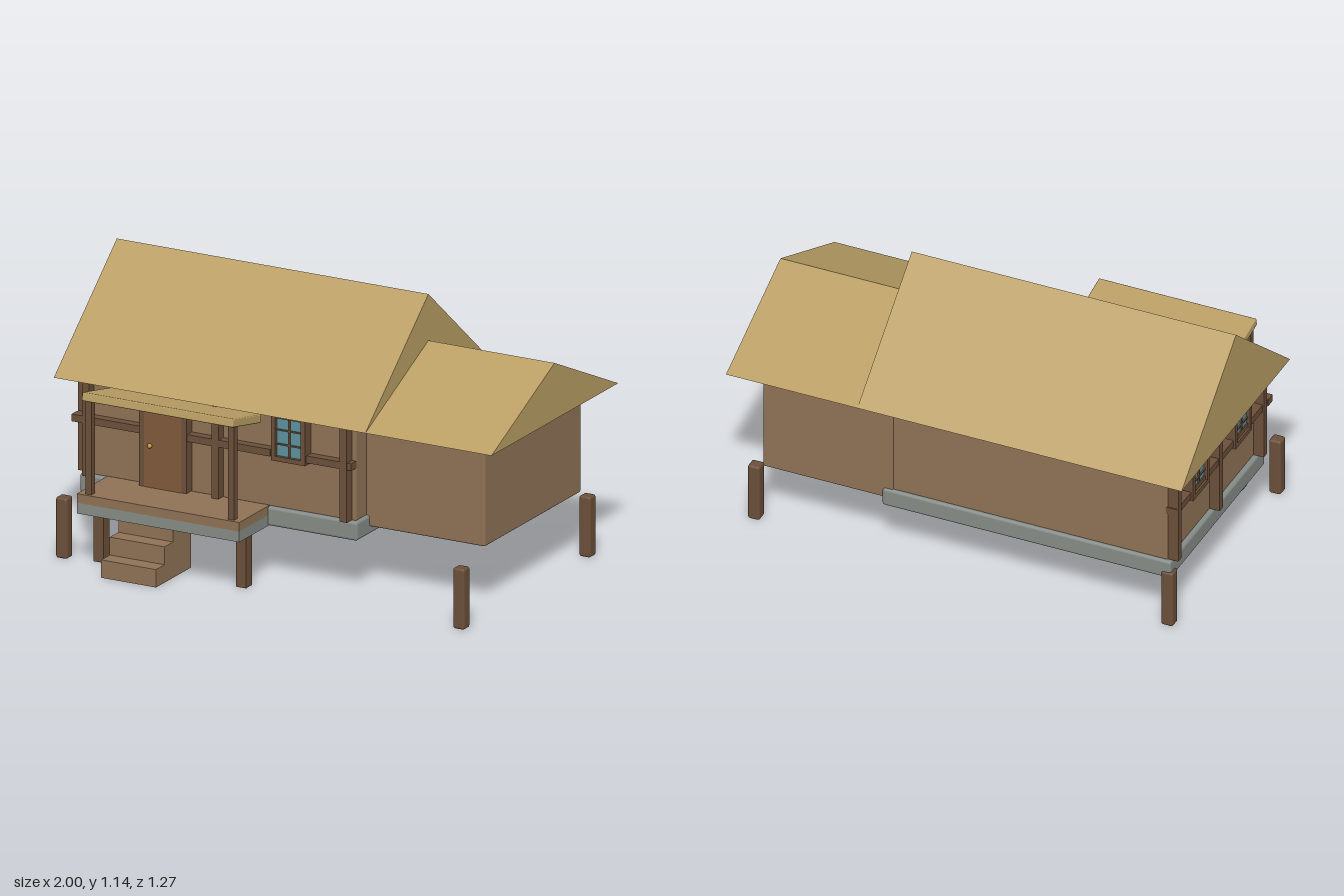
import * as THREE from 'three';
import { RoundedBoxGeometry } from 'three/addons/geometries/RoundedBoxGeometry.js';

const mat = (color) => new THREE.MeshStandardMaterial({ color, roughness: 0.9 });

export function createModel() {
  const house = new THREE.Group();
  house.name = 'stiltHouse';
  const thatch = mat(0xb99e64), wall = mat(0x8f7256), timber = mat(0x6b4f3a);
  const stone = mat(0x858b86), doorWood = mat(0x805a3c), glass = mat(0x5b919c), brass = mat(0xb8963e);

  const add = (name, geometry, material, parent = house) => {
    const mesh = new THREE.Mesh(geometry, material);
    mesh.name = name;
    parent.add(mesh);
    return mesh;
  };
  // Box given by its extents; an optional radius softens the edges
  const box = (name, [x0, x1], [y0, y1], [z0, z1], material, radius = 0, parent = house) => {
    const size = [x1 - x0, y1 - y0, z1 - z0];
    const geometry = radius ? new RoundedBoxGeometry(...size, 2, radius) : new THREE.BoxGeometry(...size);
    const mesh = add(name, geometry, material, parent);
    mesh.position.set((x0 + x1) / 2, (y0 + y1) / 2, (z0 + z1) / 2);
    return mesh;
  };
  const around = (c, w) => [c - w / 2, c + w / 2];

  // Stone base and the two wall blocks
  box('foundation', [-0.92, 0.345], [0.225, 0.305], [-0.565, 0.335], stone, 0.012);
  box('mainWalls', [-0.9, 0.33], [0.3, 0.715], [-0.55, 0.315], wall, 0.008);
  box('annexWalls', [0.3, 0.87], [0.258, 0.706], [-0.555, 0.23], wall, 0.008);

  // Solid gable roofs, extruded along x
  const gableRoof = (name, x0, x1, ridge) => {
    const shape = new THREE.Shape();
    shape.moveTo(-0.4, 0.712);
    shape.lineTo(0.635, 0.712);
    shape.lineTo(0.115, ridge);
    shape.closePath();
    const geometry = new THREE.ExtrudeGeometry(shape, { depth: x1 - x0, bevelEnabled: false });
    geometry.rotateY(Math.PI / 2); // profile x becomes -z
    geometry.translate(x0, 0, 0);
    add(name, geometry, thatch);
  };
  gableRoof('mainRoof', -1, 0.42, 1.145);
  gableRoof('annexRoof', 0.3, 0.995, 0.95);

  // Corner stilts
  for (const x of [-0.905, 0.905])
    for (const z of [-0.545, 0.485])
      box('cornerStilt', around(x, 0.052), [0, 0.255], around(z, 0.052), timber, 0.01);

  // Porch: slab, deck, posts, short piles and tilted canopy
  box('porchSlab', [-0.8, -0.06], [0.225, 0.27], [0.32, 0.57], stone);
  box('porchDeck', [-0.8, -0.06], [0.27, 0.308], [0.32, 0.57], wall);
  for (const x of [-0.755, -0.105]) {
    box('porchPost', around(x, 0.028), [0.305, 0.7], around(0.542, 0.028), timber);
    box('porchPile', around(x, 0.046), [0, 0.225], around(0.45, 0.05), timber);
  }
  const canopy = add('porchCanopy', new RoundedBoxGeometry(0.69, 0.035, 0.235, 2, 0.005), thatch);
  canopy.position.set(-0.43, 0.698, 0.46);
  canopy.rotation.x = -0.205;

  // Stairs
  for (let i = 0; i < 3; i++)
    box('stair', [-0.65, -0.4], [0, 0.075 * (i + 1)], [i < 2 ? 0.57 - 0.07 * i : 0.355, 0.64 - 0.07 * i], wall);

  // Door with its frame and knob
  box('door', [-0.61, -0.44], [0.308, 0.66], [0.31, 0.362], doorWood);
  for (const x of [-0.62, -0.432]) box('doorJamb', around(x, 0.028), [0.308, 0.67], [0.31, 0.36], timber);
  box('doorLintel', [-0.634, -0.418], [0.66, 0.685], [0.31, 0.36], timber);
  const knob = add('doorKnob', new THREE.SphereGeometry(0.01, 12, 8), brass);
  knob.position.set(-0.58, 0.485, 0.37);

  // Front timber framing
  for (const x of [-0.88, -0.29, 0.295])
    box('frontPost', around(x, 0.032), [0.305, 0.714], [0.31, 0.357], timber);
  for (const span of [[-0.945, -0.634], [-0.418, -0.04], [0.12, 0.33]])
    box('frontRail', span, [0.525, 0.555], [0.31, 0.354], timber);

  // Left end framing
  for (const z of [-0.53, -0.135, 0.285])
    box('sidePost', [-0.945, -0.89], [0.305, 0.714], around(z, 0.032), timber);
  box('sideRail', [-0.94, -0.89], [0.525, 0.555], [-0.55, 0.345], timber);

  // Windows: frame, pane and glazing bars, facing +z
  const makeWindow = (x, z, turn) => {
    const group = new THREE.Group();
    group.name = 'window';
    const part = (name, w, h, d, px, py, pz, m) =>
      box(name, around(px, w), around(py, h), around(pz, d), m, 0, group);
    part('pane', 0.135, 0.18, 0.03, 0, 0, 0.02, glass);
    for (const s of [-1, 1]) {
      part('frameSide', 0.02, 0.2, 0.05, s * 0.068, 0, 0.024, timber);
      part('frameRail', 0.156, 0.02, 0.05, 0, s * 0.09, 0.024, timber);
      part('glazingBar', 0.12, 0.006, 0.01, 0, s * 0.03, 0.036, timber);
    }
    part('mullion', 0.008, 0.18, 0.01, 0, 0, 0.036, timber);
    group.position.set(x, 0.614, z);
    group.rotation.y = turn;
    house.add(group);
  };
  makeWindow(0.047, 0.315, 0);
  for (const z of [-0.335, 0.07]) makeWindow(-0.9, z, -Math.PI / 2);

  return house;
}
